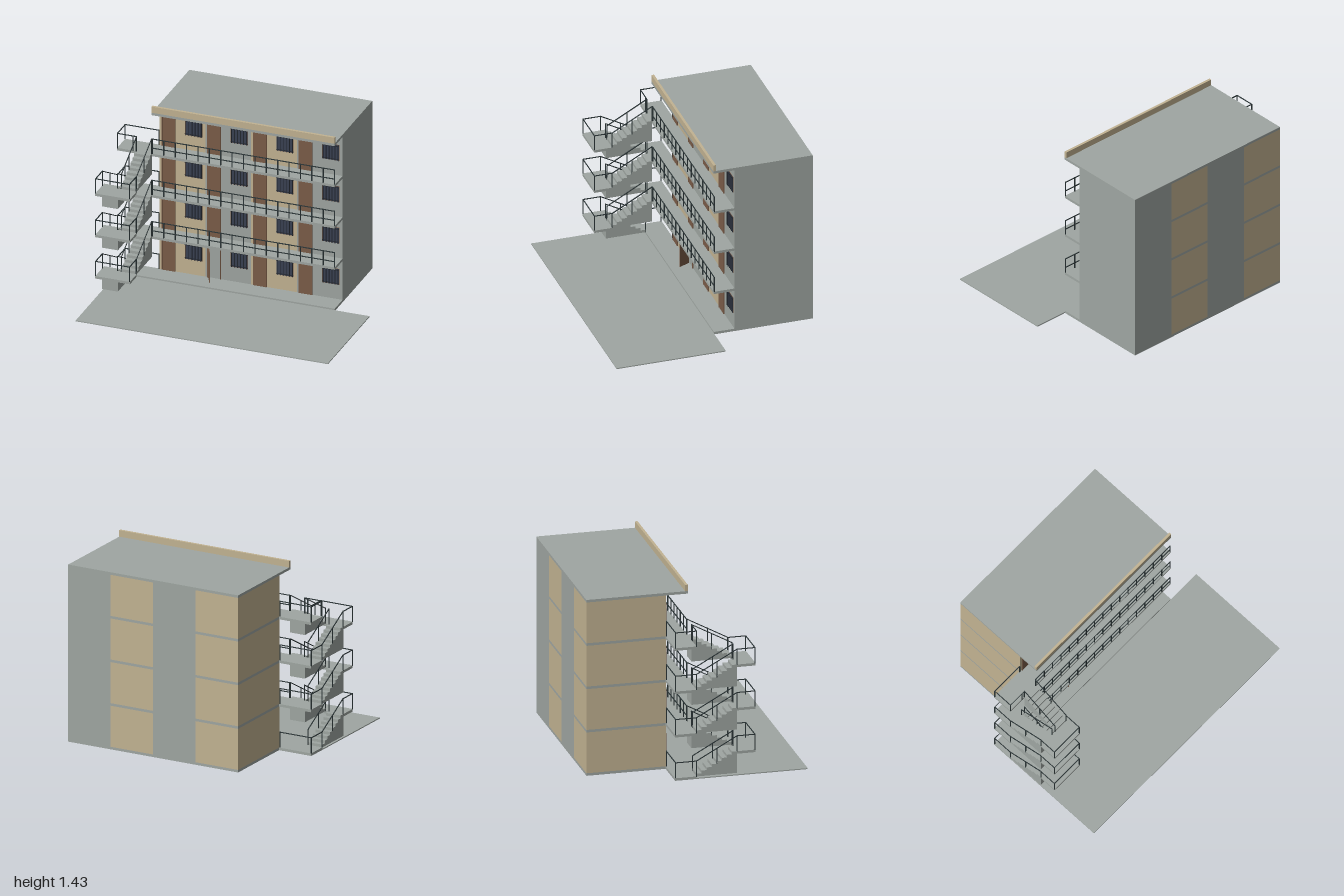
import * as THREE from 'three';

const mat = (name, color, side = THREE.FrontSide) => {
  const m = new THREE.MeshStandardMaterial({ color, side });
  m.name = name;
  return m;
};

export function createModel() {
  const concrete = mat('concrete', 0x9fa6a2);
  const tan = mat('tanPlaster', 0xc2b392);
  const brown = mat('brownWood', 0x7b5c48);
  const glass = mat('windowGlass', 0x394052);
  const iron = mat('darkIron', 0x2c3638);
  const bars = mat('windowBars', 0x22272e);

  const root = new THREE.Group();
  root.name = 'apartmentBlock';
  const group = (name, parent = root) => {
    const g = new THREE.Group();
    g.name = name;
    parent.add(g);
    return g;
  };
  const add = (parent, name, geo, m) => {
    const mesh = new THREE.Mesh(geo, m);
    mesh.name = name;
    parent.add(mesh);
    return mesh;
  };
  // Box given by its two opposite corners
  const box = (parent, name, m, x0, x1, y0, y1, z0, z1) => {
    const b = add(parent, name, new THREE.BoxGeometry(x1 - x0, y1 - y0, z1 - z0), m);
    b.position.set((x0 + x1) / 2, (y0 + y1) / 2, (z0 + z1) / 2);
    return b;
  };
  // Square iron bar between two points
  const bar = (parent, name, a, b, t = 0.006) => {
    const p = new THREE.Vector3(...a), q = new THREE.Vector3(...b);
    const mesh = add(parent, name, new THREE.BoxGeometry(t, t, p.distanceTo(q) + t), iron);
    mesh.position.copy(p).lerp(q, 0.5);
    mesh.lookAt(q);
    return mesh;
  };

  const H = 0.34, BASE = 0.02, SLAB = 0.02, RAIL = 0.12;
  const W = 0.725, BAY = W / 2, BACK = -0.81, WALL = -0.2, EDGE = -0.04;
  const S0 = -0.998, S1 = -0.73; // stair tower, outer and inner side
  const TURN = 0.27, FRONT = 0.41;

  // Ground plate in front of the block
  box(root, 'groundPlate', concrete, -1, 1, 0, 0.008, EDGE, 0.81);

  // Floor slabs, which carry the open corridors, and the roof
  for (let i = 0; i <= 4; i++) {
    const y = BASE + i * H;
    box(root, i === 4 ? 'roofSlab' : 'floorSlab', concrete, -W, W, y - SLAB, y, BACK, i === 4 ? -0.035 : EDGE);
  }
  box(root, 'roofParapet', tan, -W, W, 1.38, 1.43, -0.055, -0.035);

  // Barred window
  const addWindow = (parent, x, y) => {
    const g = group('window', parent), w = 0.136, h = 0.13;
    box(g, 'windowFrame', brown, x, x + w, y, y + h, WALL, WALL + 0.003);
    box(g, 'windowPane', glass, x + 0.003, x + w - 0.003, y + 0.003, y + h - 0.003, WALL, WALL + 0.005);
    for (let k = 0; k < 6; k++) {
      const bx = x + 0.008 + k * (w - 0.016) / 5;
      box(g, 'windowBar', bars, bx - 0.0025, bx + 0.0025, y, y + h, WALL + 0.005, WALL + 0.009);
    }
    for (const by of [0.012, h - 0.012])
      box(g, 'windowCrossBar', bars, x, x + w, y + by - 0.002, y + by + 0.002, WALL + 0.005, WALL + 0.008);
  };

  // Door, closed or standing open
  const addDoor = (parent, x, y, open) => {
    const g = group('door', parent), w = 0.108, h = 0.25, f = 0.006;
    for (const fx of [x, x + w - f])
      box(g, 'doorJamb', brown, fx, fx + f, y, y + h, WALL, WALL + 0.008);
    box(g, 'doorHead', brown, x, x + w, y + h - f, y + h, WALL, WALL + 0.008);
    if (!open) {
      box(g, 'doorLeaf', brown, x + f, x + w - f, y, y + h - f, WALL, WALL + 0.006);
      return;
    }
    const hinge = group('openDoorLeaf', g);
    hinge.position.set(x + f, y, WALL + 0.004);
    hinge.rotation.y = -1.1;
    box(hinge, 'doorLeaf', brown, 0, w - 2 * f, 0, h - f, -0.006, 0);
  };

  // Flats: four bays on each of four floors, in alternating colours
  for (let i = 0; i < 4; i++) {
    const floor = group('storey'), y = BASE + i * H;
    for (let b = 0; b < 4; b++) {
      const x = -W + b * BAY;
      box(floor, 'flatWalls', b % 2 ? concrete : tan, x, x + BAY, y, y + H - SLAB, BACK, WALL);
      addDoor(floor, x + 0.017, y, i === 0 && b === 1);
      addWindow(floor, x + 0.202, y + 0.12);
    }
  }

  // Corridor railings on the upper floors
  for (let i = 1; i < 4; i++) {
    const g = group('corridorRailing'), y = BASE + i * H, z = EDGE - 0.004;
    for (const h of [0.045, RAIL]) bar(g, 'rail', [-W, y + h, z], [W - 0.003, y + h, z]);
    for (let k = 0; k <= 16; k++) {
      const x = -W + 0.003 + k * (2 * W - 0.006) / 16;
      bar(g, 'post', [x, y, z], [x, y + RAIL, z], 0.007);
    }
  }

  // Handrail along a path of floor points, with a post at each one
  const handrail = (parent, pts) => {
    const g = group('handrail', parent);
    const up = ([x, y, z]) => [x, y + RAIL, z];
    pts.forEach((p, k) => {
      bar(g, 'post', p, up(p));
      if (k) bar(g, 'rail', up(pts[k - 1]), up(p));
    });
  };

  // Solid flight of eight steps, rising towards +z (dir 1) or -z (dir -1)
  const addFlight = (parent, x0, x1, y, dir) => {
    const n = 8, z0 = dir > 0 ? EDGE : TURN, run = dir * (TURN - EDGE) / n, rise = H / 2 / n;
    const s = new THREE.Shape();
    s.moveTo(z0, y);
    for (let k = 0; k < n; k++) {
      s.lineTo(z0 + k * run, y + (k + 1) * rise);
      s.lineTo(z0 + (k + 1) * run, y + (k + 1) * rise);
    }
    s.lineTo(z0 + n * run, y);
    const geo = new THREE.ExtrudeGeometry(s, { depth: x1 - x0, bevelEnabled: false });
    geo.rotateY(-Math.PI / 2);
    add(parent, 'stairFlight', geo, concrete).position.x = x1;
    // Handrails on both sides with a post halfway
    for (const x of [x0 + 0.003, x1 - 0.003])
      handrail(parent, [0, 0.5, 1].map(t => [x, y + t * H / 2, z0 + t * n * run]));
  };

  // Outside stair tower
  const tower = group('stairTower');
  const A = -0.875, B = -0.85;
  for (let i = 0; i < 4; i++) {
    const y = BASE + i * H, m = y + H / 2;
    box(tower, 'floorLanding', concrete, -1, -W, y - SLAB, y, -0.205, EDGE);
    handrail(tower, [[S0, y, EDGE], [S0, y, WALL], [S1, y, WALL]]);
    if (i === 3) {
      // Rail closing the top landing
      handrail(tower, [[S0, y, EDGE], [A, y, EDGE], [B, y, EDGE]]);
      break;
    }
    box(tower, 'halfLanding', concrete, -1, -W, m - SLAB, m, TURN, FRONT);
    handrail(tower, [[S0, m, TURN], [S0, m, FRONT - 0.003], [S1, m, FRONT - 0.003], [S1, m, TURN]]);
    addFlight(tower, -1, A, y, 1);
    addFlight(tower, B, -W, m, -1);
  }

  return root;
}
